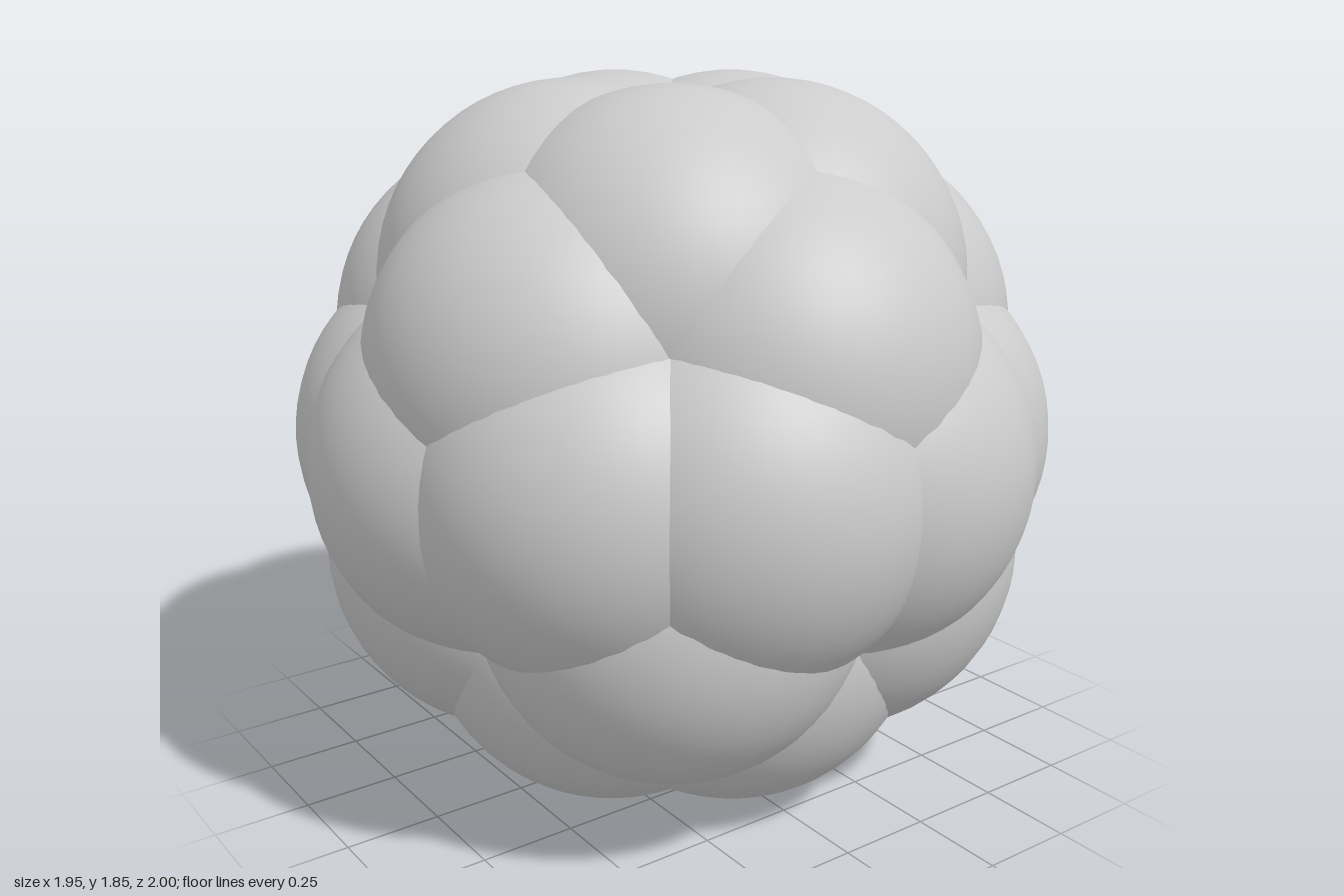
import * as THREE from 'three';

const R = 0.5;          // distance of the ball centres from the middle
const BALL = 0.5;       // ball radius
const MID_Y = 0.925;    // height of the cluster's middle
const POLAR = 31.717;   // tilt of the polar ring from the vertical axis, in degrees

export function createModel() {
  const group = new THREE.Group();
  group.name = 'ballCluster';
  const material = new THREE.MeshStandardMaterial({ color: 0xcccccc });
  const geometry = new THREE.SphereGeometry(BALL, 48, 32);

  // ring of equal balls: tilt from the vertical axis, count, first angle about it
  const addRing = (name, tilt, count, start) => {
    const ring = new THREE.Group();
    ring.name = name;
    const t = THREE.MathUtils.degToRad(tilt);
    for (let i = 0; i < count; i++) {
      const a = THREE.MathUtils.degToRad(start + (i * 360) / count);
      const ball = new THREE.Mesh(geometry, material);
      ball.name = 'ball';
      ball.position.set(
        R * Math.sin(t) * Math.cos(a),
        MID_Y + R * Math.cos(t),
        R * Math.sin(t) * Math.sin(a)
      );
      ring.add(ball);
    }
    group.add(ring);
  };

  // thirty balls on the corners of an icosidodecahedron, five-fold axis upright
  addRing('topRing', POLAR, 5, 36);
  addRing('upperRing', 90 - POLAR, 5, 0);
  addRing('middleRing', 90, 10, 18);
  addRing('lowerRing', 90 + POLAR, 5, 36);
  addRing('bottomRing', 180 - POLAR, 5, 0);

  return group;
}
